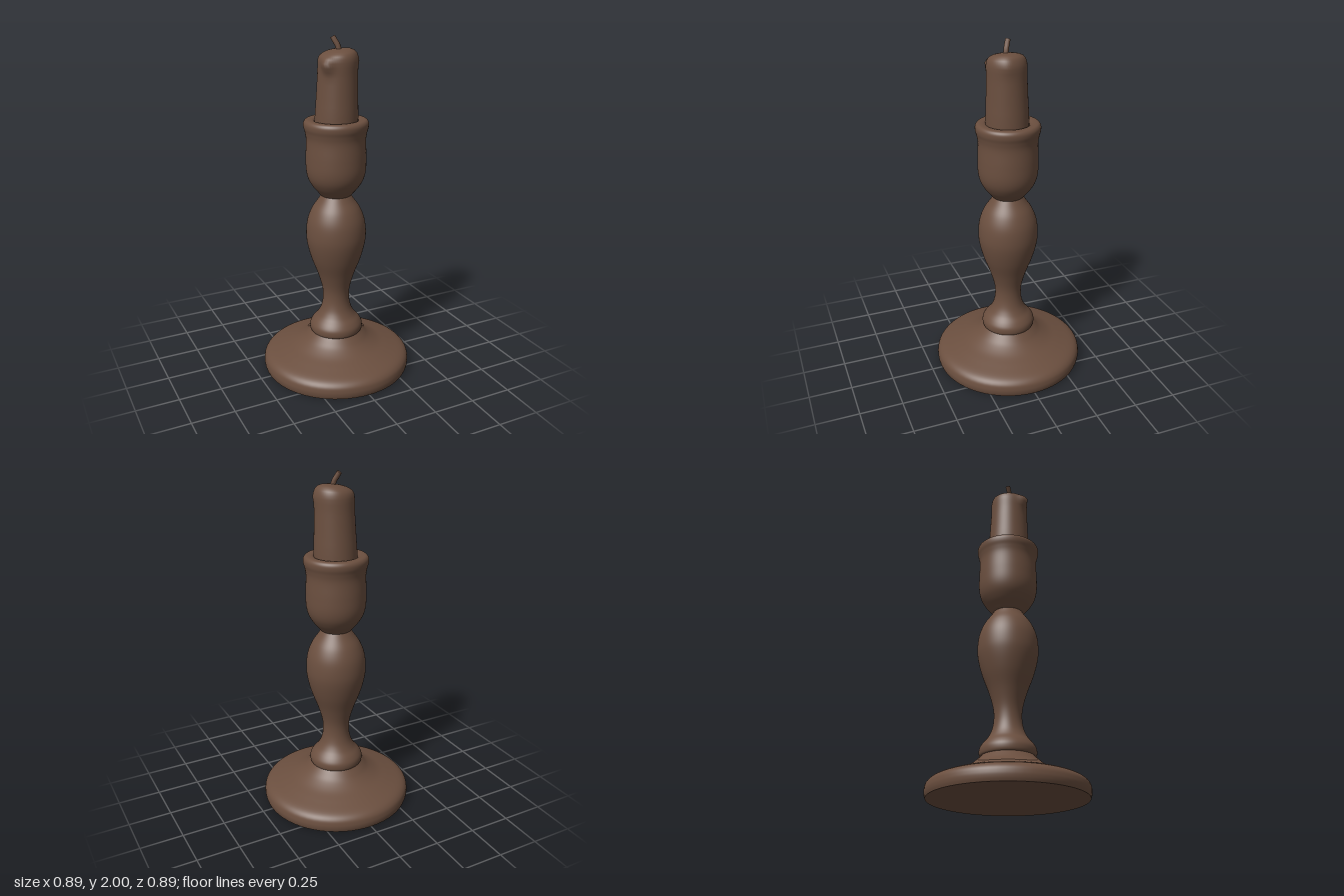
import * as THREE from 'three';
import { mergeVertices } from 'three/addons/utils/BufferGeometryUtils.js';

const SEGMENTS = 64;

// Smooth turned part from a few [radius, height] points, bottom to top
function turned(name, points, material, steps = 5) {
  const curve = new THREE.SplineCurve(points.map(([r, y]) => new THREE.Vector2(r, y)));
  const profile = curve.getPoints((points.length - 1) * steps);
  const mesh = new THREE.Mesh(new THREE.LatheGeometry(profile, SEGMENTS), material);
  mesh.name = name;
  return mesh;
}

// Candle: a lathe shifted and given wax drips by a rule
function candleGeometry() {
  const profile = [
    [0.122, 1.5], [0.122, 1.56], [0.119, 1.62], [0.116, 1.68], [0.114, 1.74], [0.112, 1.78],
    [0.112, 1.81], [0.112, 1.835], [0.112, 1.86], [0.109, 1.88], [0.102, 1.897],
    [0.09, 1.91], [0.07, 1.919], [0.045, 1.924], [0.02, 1.927], [0, 1.927],
  ].map(([r, y]) => new THREE.Vector2(r, y));
  const lathe = new THREE.LatheGeometry(profile, SEGMENTS);
  lathe.deleteAttribute('normal');
  lathe.deleteAttribute('uv');
  const geometry = mergeVertices(lathe, 1e-5);
  const p = geometry.attributes.position;
  const drips = [ // [x, z, height, bulge, spread]
    [-0.83, 0.56, 1.85, 0.03, 0.3],
    [0.95, 0.3, 1.87, 0.006, 0.35],
  ];
  for (let i = 0; i < p.count; i++) {
    let x = p.getX(i), y = p.getY(i), z = p.getZ(i);
    const r = Math.hypot(x, z);
    const t = THREE.MathUtils.clamp((y - 1.5) / 0.4, 0, 1);
    if (r > 0.01) {
      const ux = x / r, uz = z / r;
      let add = 0;
      for (const [dx, dz, h, bulge, spread] of drips) {
        const d = Math.hypot(ux - dx, uz - dz) / spread;
        add += bulge * Math.exp(-d * d - ((y - h) / 0.035) ** 2);
      }
      x += ux * add;
      z += uz * add;
    }
    // uneven melted top, higher on the left
    if (y > 1.88) y += 0.12 * x * THREE.MathUtils.smoothstep(y, 1.87, 1.92);
    p.setXYZ(i, x + 0.007 * t, y, z + 0.004 + 0.007 * t);
  }
  geometry.computeVertexNormals();
  return geometry;
}

export function createModel() {
  const group = new THREE.Group();
  group.name = 'candlestick';
  const brown = new THREE.MeshStandardMaterial({ color: 0x6b4f3f });
  brown.name = 'brown';

  // Foot
  group.add(turned('foot', [
    [0.438, 0], [0.444, 0.02], [0.445, 0.045], [0.436, 0.075], [0.405, 0.1], [0.33, 0.126],
    [0.26, 0.15], [0.205, 0.18], [0.17, 0.21], [0.145, 0.235],
  ], brown));
  const underside = new THREE.Mesh(new THREE.CircleGeometry(0.438, SEGMENTS), brown);
  underside.rotation.x = Math.PI / 2;
  underside.name = 'footUnderside';
  group.add(underside);

  // Baluster stem
  group.add(turned('stem', [
    [0.14, 0.228], [0.154, 0.232], [0.159, 0.25], [0.156, 0.275], [0.14, 0.302], [0.112, 0.335],
    [0.09, 0.38], [0.079, 0.44], [0.083, 0.51], [0.108, 0.6], [0.145, 0.7], [0.169, 0.79],
    [0.176, 0.86], [0.168, 0.94], [0.142, 1.01], [0.105, 1.065], [0.082, 1.1],
  ], brown));

  // Cup with flared rim
  group.add(turned('cup', [
    [0.07, 1.09], [0.088, 1.095], [0.106, 1.115], [0.135, 1.15], [0.16, 1.195], [0.172, 1.25],
    [0.173, 1.33], [0.17, 1.42], [0.176, 1.465], [0.184, 1.495], [0.184, 1.52],
    [0.172, 1.536], [0.15, 1.539], [0.128, 1.534], [0.115, 1.515],
  ], brown));

  // Candle
  const candle = new THREE.Mesh(candleGeometry(), brown);
  candle.name = 'candle';
  group.add(candle);

  // Bent wick with a cut tip
  const path = new THREE.CatmullRomCurve3([
    new THREE.Vector3(0.012, 1.91, 0.018),
    new THREE.Vector3(0.004, 1.945, 0.012),
    new THREE.Vector3(-0.008, 1.97, 0.003),
    new THREE.Vector3(-0.018, 1.992, -0.006),
  ]);
  const wick = new THREE.Mesh(new THREE.TubeGeometry(path, 10, 0.015, 10), brown);
  wick.name = 'wick';
  group.add(wick);
  const tip = new THREE.Mesh(new THREE.CircleGeometry(0.015, 10), brown);
  tip.position.copy(path.getPoint(1));
  tip.quaternion.setFromUnitVectors(new THREE.Vector3(0, 0, 1), path.getTangent(1));
  tip.name = 'wickTip';
  group.add(tip);

  return group;
}
